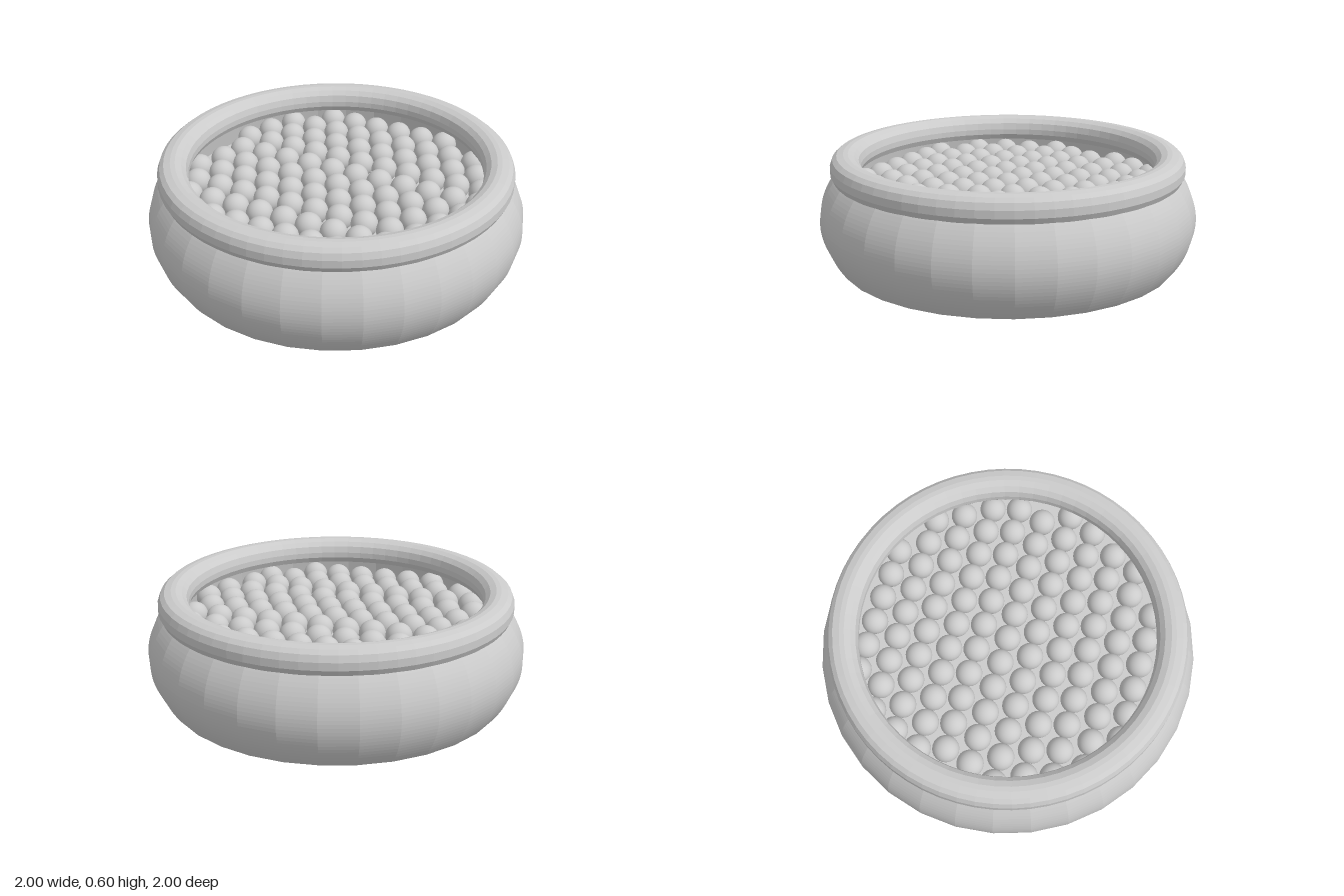
import * as THREE from 'three';

const FLOOR = 0.33, BALL_R = 0.07, BALL_Y = 0.4, PITCH = 0.141;

// Bulging side wall: widest at y = 0.25
const wallRadius = (y) => 1 - 0.1 * ((y - 0.25) / 0.25) ** 2;

function lathe(name, profile, segments, material) {
  const points = profile.map(([r, y]) => new THREE.Vector2(r, y));
  const mesh = new THREE.Mesh(new THREE.LatheGeometry(points, segments), material);
  mesh.name = name;
  return mesh;
}

export function createModel() {
  const model = new THREE.Group();
  model.name = 'bowlOfBalls';
  const faceted = new THREE.MeshStandardMaterial({ color: 0xcccccc, flatShading: true });
  const smooth = new THREE.MeshStandardMaterial({ color: 0xcccccc });

  // Bowl: base, outer wall, top edge, inner wall and raised floor
  const profile = [[0, 0]];
  for (let i = 0; i <= 24; i++) {
    const y = (i / 24) * 0.48;
    profile.push([wallRadius(y), y]);
  }
  profile.push([0.85, 0.48], [0.875, FLOOR], [0, FLOOR]);
  model.add(lathe('bowl', profile, 32, faceted));

  // Rounded rim ring
  const rim = [
    [0.79, 0.47], [0.92, 0.47], [0.935, 0.5], [0.935, 0.54], [0.922, 0.573],
    [0.9, 0.592], [0.865, 0.6], [0.84, 0.6], [0.808, 0.588], [0.785, 0.565],
    [0.775, 0.53], [0.775, 0.5], [0.79, 0.47],
  ];
  model.add(lathe('rim', rim, 64, faceted));

  // Rows of balls, each row shifted sideways by its own amount
  const balls = new THREE.Group();
  balls.name = 'balls';
  const ballGeometry = new THREE.SphereGeometry(BALL_R, 24, 16);
  const shifts = [0.05, 0, 0.07, 0.01, 0.045, 0.005, 0.08, 0.015, 0.053, -0.003, 0.05];
  shifts.forEach((shift, row) => {
    const z = (row - 5) * PITCH - 0.003;
    for (let i = -6; i <= 6; i++) {
      const x = shift + i * PITCH;
      if (Math.hypot(x, z) > 0.81) continue;
      const ball = new THREE.Mesh(ballGeometry, smooth);
      ball.name = 'ball';
      ball.position.set(x, BALL_Y, z);
      balls.add(ball);
    }
  });
  model.add(balls);

  return model;
}
